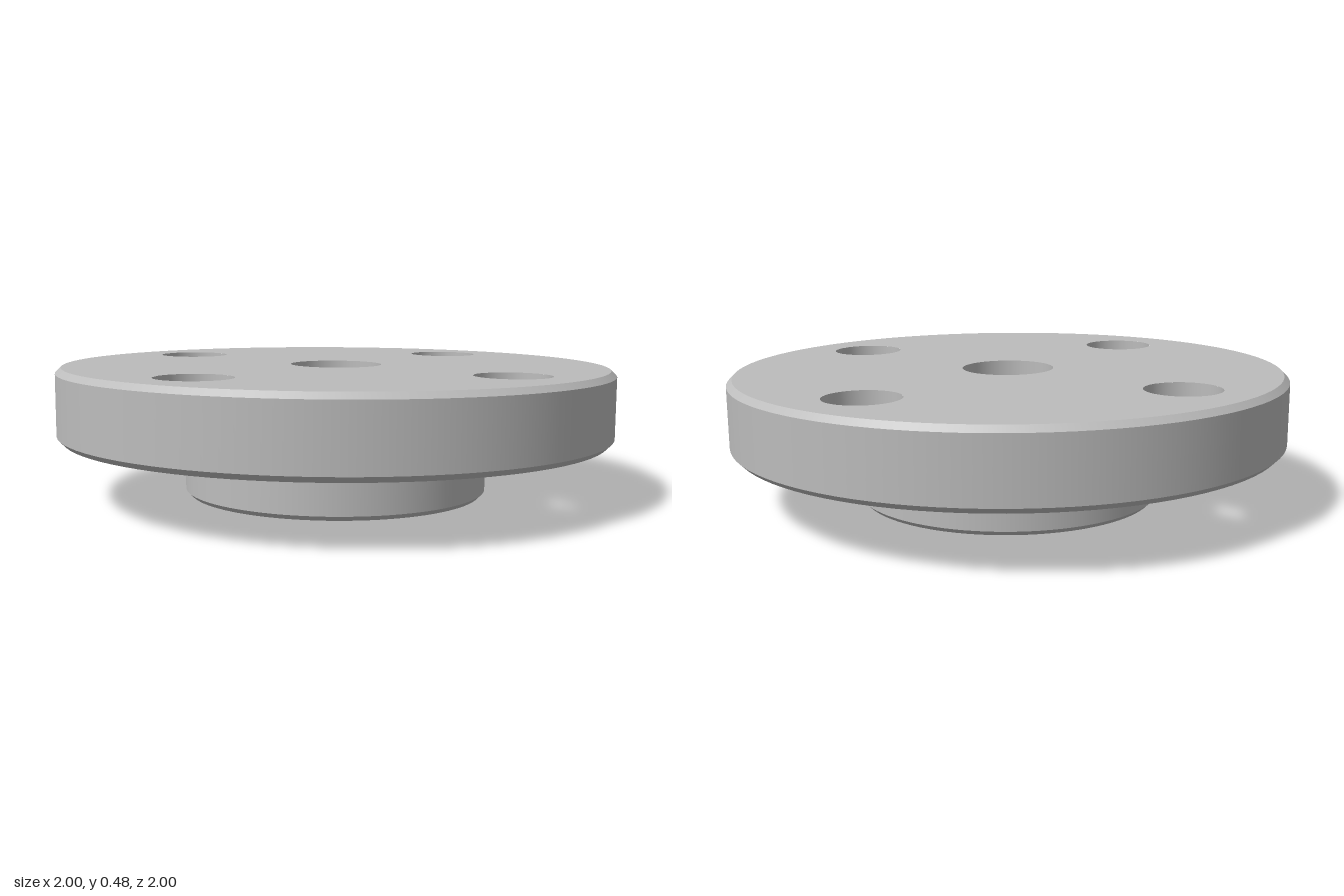
import * as THREE from 'three';
import { mergeGeometries } from 'three/addons/utils/BufferGeometryUtils.js';

const SEG = 96;
const HUB_H = 0.21, TOP = 0.467;          // underside and top of the flange
const HUB_R = 0.55, BORE_R = 0.324, SCREW_R = 0.165, HOLE_R = 0.13;
const FLOOR = 0.31, SPLINE_TOP = 0.24;    // heights inside the bore

// Revolved surface with a hard edge at every profile point.
// Profiles running upwards face outwards, running downwards face the axis.
function turned(profile, seg = SEG) {
  const bands = [];
  for (let i = 0; i < profile.length - 1; i++) {
    bands.push(new THREE.LatheGeometry([profile[i], profile[i + 1]].map(([r, y]) => new THREE.Vector2(r, y)), seg));
  }
  return mergeGeometries(bands);
}

function circlePath(Type, r, x = 0, y = 0) {
  const p = new Type();
  p.absarc(x, y, r, 0, Math.PI * 2, false);
  return p;
}

export function createModel() {
  const metal = new THREE.MeshStandardMaterial({ color: 0xbcbcbc });
  metal.name = 'grey metal';

  const model = new THREE.Group();
  const disc = new THREE.Group();
  disc.name = 'flangedDisc';
  model.add(disc);
  const add = (name, geometry) => {
    const mesh = new THREE.Mesh(geometry, metal);
    mesh.name = name;
    disc.add(mesh);
    return mesh;
  };

  // Four mounting holes, turned ten degrees off the axes (x, z)
  const holes = [0, 1, 2, 3].map((k) => {
    const a = -0.178 + k * Math.PI / 2;
    return [0.73 * Math.cos(a), 0.73 * Math.sin(a)];
  });

  // Flange rim with chamfered edges
  add('flangeRim', turned([[0.98, HUB_H], [1, HUB_H + 0.02], [1, TOP - 0.02], [0.98, TOP]]));

  // Flat faces of the flange, pierced by the holes
  const face = (name, innerR, y, up) => {
    const shape = circlePath(THREE.Shape, 0.98);
    shape.holes.push(circlePath(THREE.Path, innerR));
    for (const [x, z] of holes) shape.holes.push(circlePath(THREE.Path, HOLE_R, x, up ? -z : z));
    const g = new THREE.ShapeGeometry(shape, SEG / 2);
    g.rotateX(up ? -Math.PI / 2 : Math.PI / 2);
    g.translate(0, y, 0);
    add(name, g);
  };
  face('flangeTop', SCREW_R, TOP, true);
  face('flangeUnderside', HUB_R, HUB_H, false);

  // Walls of the mounting holes
  for (const [x, z] of holes) {
    add('mountingHole', turned([[HOLE_R, TOP], [HOLE_R, HUB_H]], 48)).position.set(x, 0, z);
  }

  // Hub with chamfered lower edge
  add('hub', turned([[BORE_R, 0], [0.533, 0], [HUB_R, 0.017], [HUB_R, HUB_H]]));

  // Stepped bore: screw hole, floor and socket wall
  add('bore', turned([[SCREW_R, TOP], [SCREW_R, FLOOR], [BORE_R, FLOOR], [BORE_R, 0]]));

  // Ring of 25 internal spline teeth
  const TEETH = 25;
  const spline = circlePath(THREE.Shape, BORE_R + 0.002);
  const outline = [];
  for (let i = 0; i < TEETH; i++) {
    for (const [offset, r] of [[-0.42, 0.32], [-0.08, 0.272], [0.08, 0.272], [0.42, 0.32]]) {
      const a = (i + offset) / TEETH * Math.PI * 2 + Math.PI / 2;
      outline.push(new THREE.Vector2(r * Math.cos(a), r * Math.sin(a)));
    }
  }
  spline.holes.push(new THREE.Path(outline));
  const teeth = new THREE.ExtrudeGeometry(spline, { depth: SPLINE_TOP - 0.006, bevelEnabled: false, curveSegments: SEG / 2 });
  teeth.rotateX(-Math.PI / 2);
  add('splineTeeth', teeth).position.y = 0.006;

  // The disc sits with a very slight lean
  disc.rotation.z = -0.0085;
  disc.position.set(-0.002, 0.0046, 0);
  return model;
}
